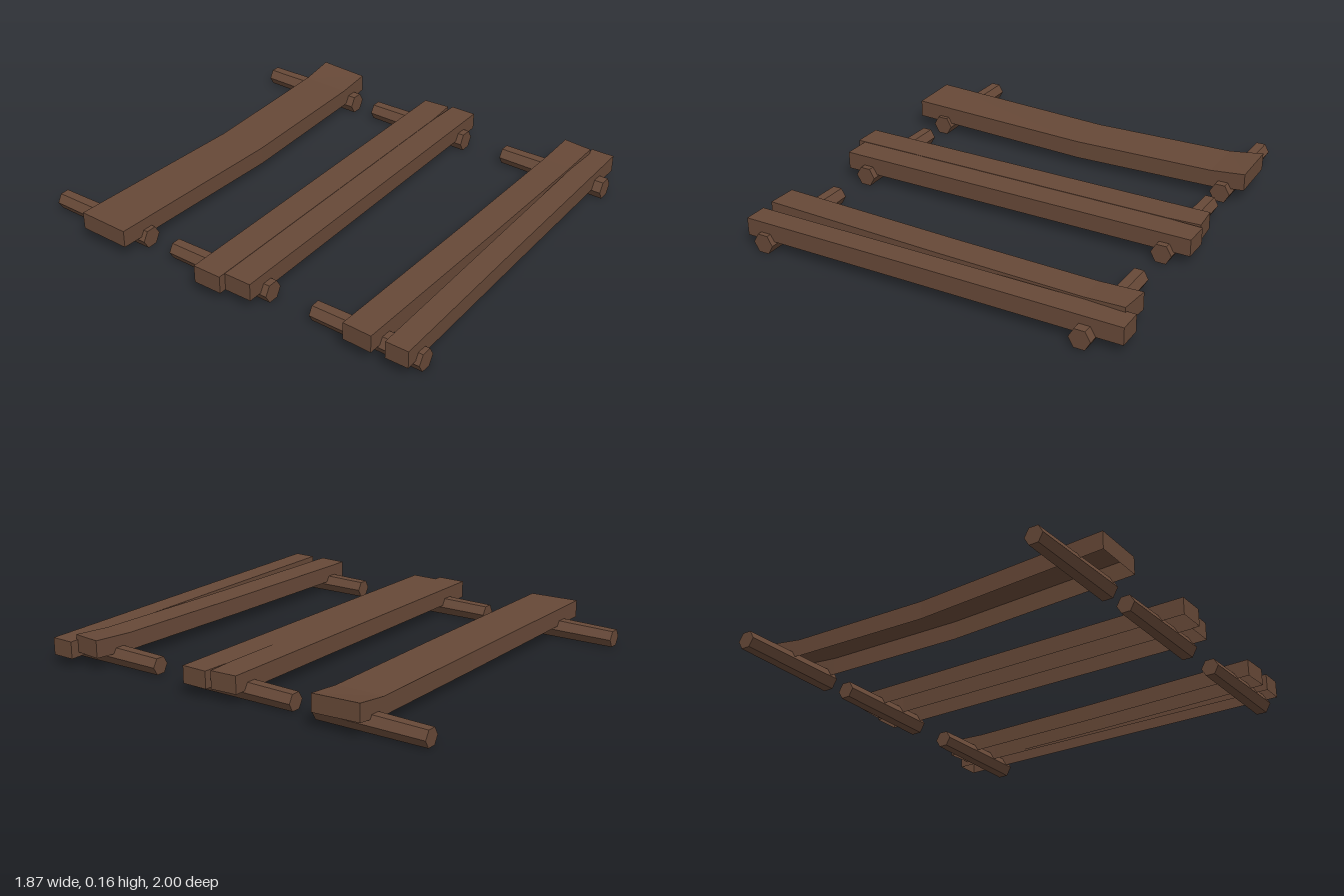
import * as THREE from 'three';

// Open-bottomed plank lofted along x.
// Section: [x, zBack, zFront, yBottom, yTop, front x offset, front y offset]
function plankGeometry(sections) {
  const pos = [];
  const index = [];
  for (const [x, z0, z1, y0, y1, dx = 0, dy = 0] of sections) {
    pos.push(x, y0, z0, x, y1, z0, x + dx, y1 + dy, z1, x + dx, y0 + dy, z1);
  }
  const quad = (a, b, c, d) => index.push(a, b, c, a, c, d);
  const last = (sections.length - 1) * 4;
  for (let i = 0; i < last; i += 4) {
    for (let k = 0; k < 3; k++) quad(i + k, i + k + 1, i + k + 5, i + k + 4);
  }
  quad(3, 2, 1, 0);
  quad(last, last + 1, last + 2, last + 3);
  const indexed = new THREE.BufferGeometry();
  indexed.setAttribute('position', new THREE.Float32BufferAttribute(pos, 3));
  indexed.setIndex(index);
  const geometry = indexed.toNonIndexed();
  geometry.computeVertexNormals();
  return geometry;
}

// Six-sided log along z, slightly thinner at the back
function logGeometry(zBack, zFront) {
  const geometry = new THREE.CylinderGeometry(0.05, 0.044, zFront - zBack, 6);
  geometry.rotateY(Math.PI / 6);
  geometry.rotateX(Math.PI / 2);
  geometry.translate(0, 0.0435, (zBack + zFront) / 2);
  return geometry;
}

export function createModel() {
  const group = new THREE.Group();
  const wood = new THREE.MeshStandardMaterial({
    name: 'brownWood', color: 0x664837, flatShading: true, side: THREE.DoubleSide,
  });
  const add = (name, geometry, x = 0) => {
    const mesh = new THREE.Mesh(geometry, wood);
    mesh.name = name;
    mesh.position.x = x;
    group.add(mesh);
  };

  // Supporting logs, one pair per step
  const logs = [
    ['backRightLog', -0.79, -1, -0.455],
    ['backLeftLog', 0.765, -0.975, -0.43],
    ['middleRightLog', -0.79, -0.31, 0.235],
    ['middleLeftLog', 0.765, -0.31, 0.235],
    ['frontRightLog', -0.79, 0.455, 1],
    ['frontLeftLog', 0.765, 0.455, 1],
  ];
  for (const [name, x, z0, z1] of logs) add(name, logGeometry(z0, z1), x);

  // Back step: one wide, sagging plank
  add('backPlank', plankGeometry([
    [-0.935, -0.725, -0.48, 0.065, 0.148, 0, -0.005],
    [0, -0.695, -0.455, 0.042, 0.128],
    [0.7, -0.707, -0.468, 0.052, 0.135, 0, -0.003],
    [0.87, -0.71, -0.47, 0.075, 0.158, 0, -0.01],
  ]));

  // Middle step: two planks with a split at the left end
  add('middleRearPlank', plankGeometry([
    [-0.94, -0.07, 0.07, 0.052, 0.136],
    [0.72, -0.07, 0.07, 0.05, 0.133],
    [0.863, -0.07, 0.06, 0.05, 0.133, 0.01],
  ]));
  add('middleFrontPlank', plankGeometry([
    [-0.905, 0.07, 0.204, 0.05, 0.134],
    [0.72, 0.07, 0.204, 0.05, 0.131],
    [0.888, 0.077, 0.204, 0.05, 0.131],
  ]));

  // Front step: two narrow planks, crossing at the left end
  add('frontRearPlank', plankGeometry([
    [-0.888, 0.665, 0.805, 0.055, 0.138, -0.005],
    [0, 0.687, 0.827, 0.05, 0.133],
    [0.7, 0.704, 0.844, 0.052, 0.135],
    [0.904, 0.71, 0.852, 0.064, 0.147, -0.014],
  ]));
  add('frontFrontPlank', plankGeometry([
    [-0.887, 0.868, 0.978, 0.055, 0.138],
    [0, 0.855, 0.965, 0.049, 0.132],
    [0.934, 0.841, 0.954, 0.043, 0.124],
  ]));

  return group;
}
